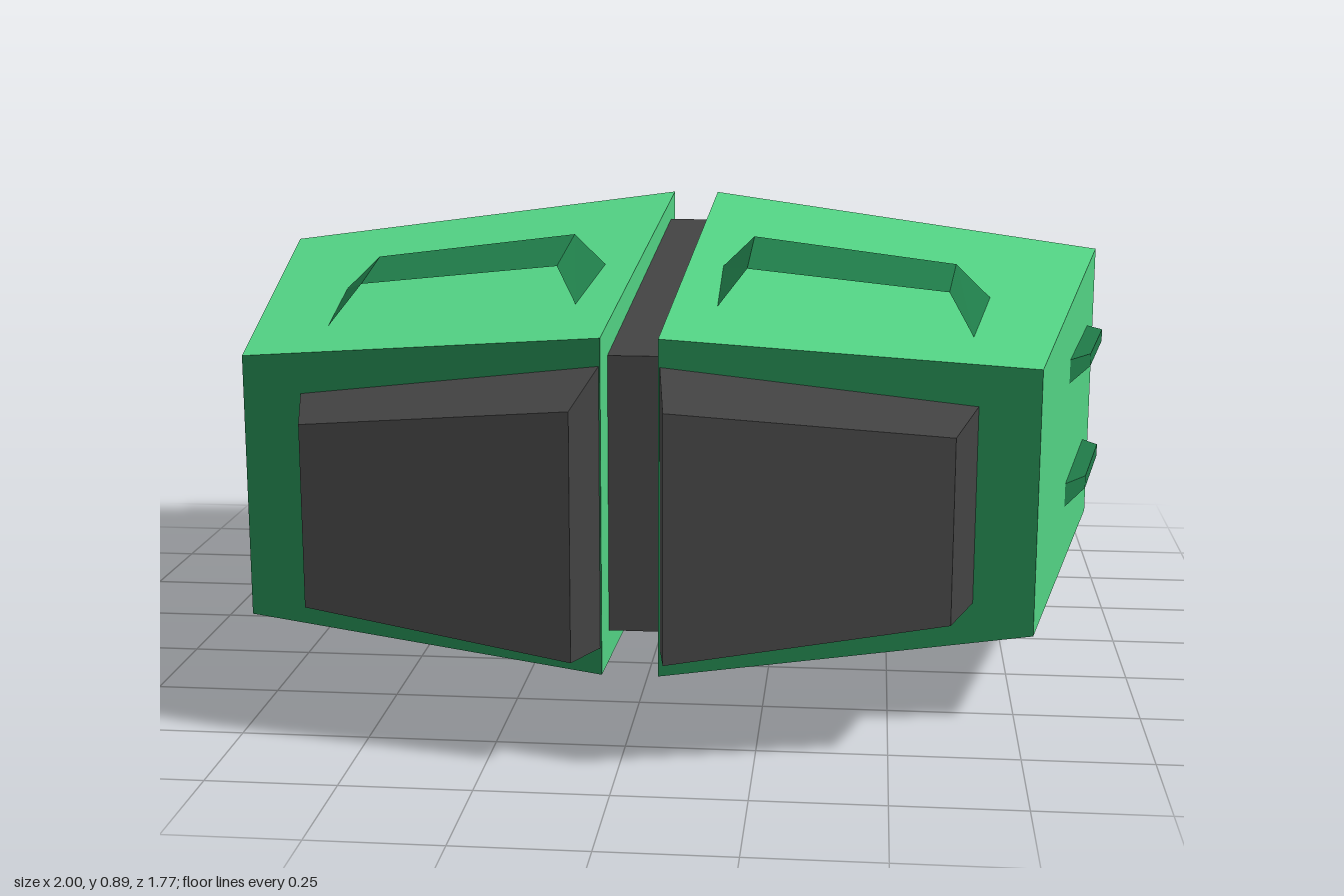
import * as THREE from 'three';

const MID = 0.445; // height of the horizontal symmetry plane

const paint = (color, side = THREE.FrontSide) =>
  new THREE.MeshStandardMaterial({ color, side, flatShading: true });

// Flat-shaded mesh from four-cornered faces; sx / sy mirror the corners across x = 0 / y = MID
function panels(name, faces, material, sx = 1, sy = 1) {
  const out = [];
  for (const face of faces) {
    const q = face.map(([x, y, z]) => [x * sx, MID + (y - MID) * sy, z]);
    if (sx * sy < 0) q.reverse();
    for (const i of [0, 1, 2, 0, 2, 3]) out.push(...q[i]);
  }
  const geometry = new THREE.BufferGeometry();
  geometry.setAttribute('position', new THREE.Float32BufferAttribute(out, 3));
  geometry.computeVertexNormals();
  const mesh = new THREE.Mesh(geometry, material);
  mesh.name = name;
  return mesh;
}

// Four-cornered section given by its inner and outer edge (x, z, half height)
const ring = (xi, zi, hi, xo, zo, ho) => [
  [xi, MID - hi, zi], [xo, MID - ho, zo], [xo, MID + ho, zo], [xi, MID + hi, zi],
];

// Side faces between two sections
const loft = (a, b) => a.map((p, i) => {
  const j = (i + 1) % 4;
  return [p, a[j], b[j], b[i]];
});

export function createModel() {
  const model = new THREE.Group();
  const green = paint(0x52d183);
  const darkGreen = paint(0x1f7a48);
  const thinGreen = paint(0x1f7a48, THREE.DoubleSide);
  const grey = paint(0x424242);
  const black = paint(0x0a0a0a);

  // Tapered spine between the pods
  const spineBack = ring(-0.055, -0.78, 0.387, 0.055, -0.78, 0.387);
  const spineFront = ring(-0.055, 0.55, 0.278, 0.055, 0.55, 0.278);
  model.add(panels('spine',
    [...loft(spineBack, spineFront), spineFront, [...spineBack].reverse()], grey));

  // Sections of one pod
  const back = ring(0.055, -0.89, 0.445, 1, -0.725, 0.332);
  const front = ring(0.055, 0.665, 0.332, 0.78, 0.55, 0.265);
  const tubePlate = ring(0.115, -0.62, 0.288, 0.926, -0.62, 0.288);
  const noseBase = ring(0.058, 0.664, 0.278, 0.66, 0.568, 0.195);
  const noseTip = ring(0.085, 0.885, 0.236, 0.61, 0.775, 0.178);

  // Bent plate of a hood: inner flank, top, outer flank
  const rear = [[0.127, 0.817, -0.03], [0.197, 0.885, -0.03], [0.633, 0.83, -0.03], [0.71, 0.756, -0.03]];
  const fore = [[0.142, 0.788, 0.355], [0.197, 0.853, 0.245], [0.61, 0.81, 0.245], [0.657, 0.736, 0.355]];
  const hood = [0, 1, 2].map((i) => [rear[i], fore[i], fore[i + 1], rear[i + 1]]);

  for (const s of [1, -1]) {
    const pod = new THREE.Group();
    pod.name = s > 0 ? 'leftPod' : 'rightPod';
    pod.add(
      panels('shell', loft(back, front), green, s),
      panels('frontPlate', [front], darkGreen, s),
      panels('rearRecess', loft(tubePlate, back), darkGreen, s),
      panels('tubePlate', [[...tubePlate].reverse()], green, s),
      panels('nose', [...loft(noseBase, noseTip), noseTip], grey, s),
      panels('upperHood', hood, thinGreen, s, 1),
      panels('lowerHood', hood, thinGreen, s, -1),
    );

    // Two rows of three octagonal tube openings
    for (const x of [0.27, 0.52, 0.77]) {
      for (const dy of [-0.143, 0.143]) {
        const tube = new THREE.Mesh(new THREE.CircleGeometry(0.12, 8, Math.PI / 8), black);
        tube.name = 'tubeOpening';
        tube.rotation.y = Math.PI;
        tube.position.set(s * x, MID + dy, -0.624);
        pod.add(tube);
      }
    }

    // Side vents, chamfered at both ends and underneath
    for (const y of [0.28, 0.56]) {
      const top = y + 0.054, lip = y + 0.026;
      const base = [[0.888, y, -0.085], [0.969, y, -0.555], [0.969, top, -0.555], [0.888, top, -0.085]];
      const outer = [[0.942, lip, -0.17], [1, lip, -0.5], [1, top, -0.5], [0.942, top, -0.17]];
      pod.add(panels('sideVent', [...loft(base, outer), outer], darkGreen, s));
    }
    model.add(pod);
  }
  return model;
}
